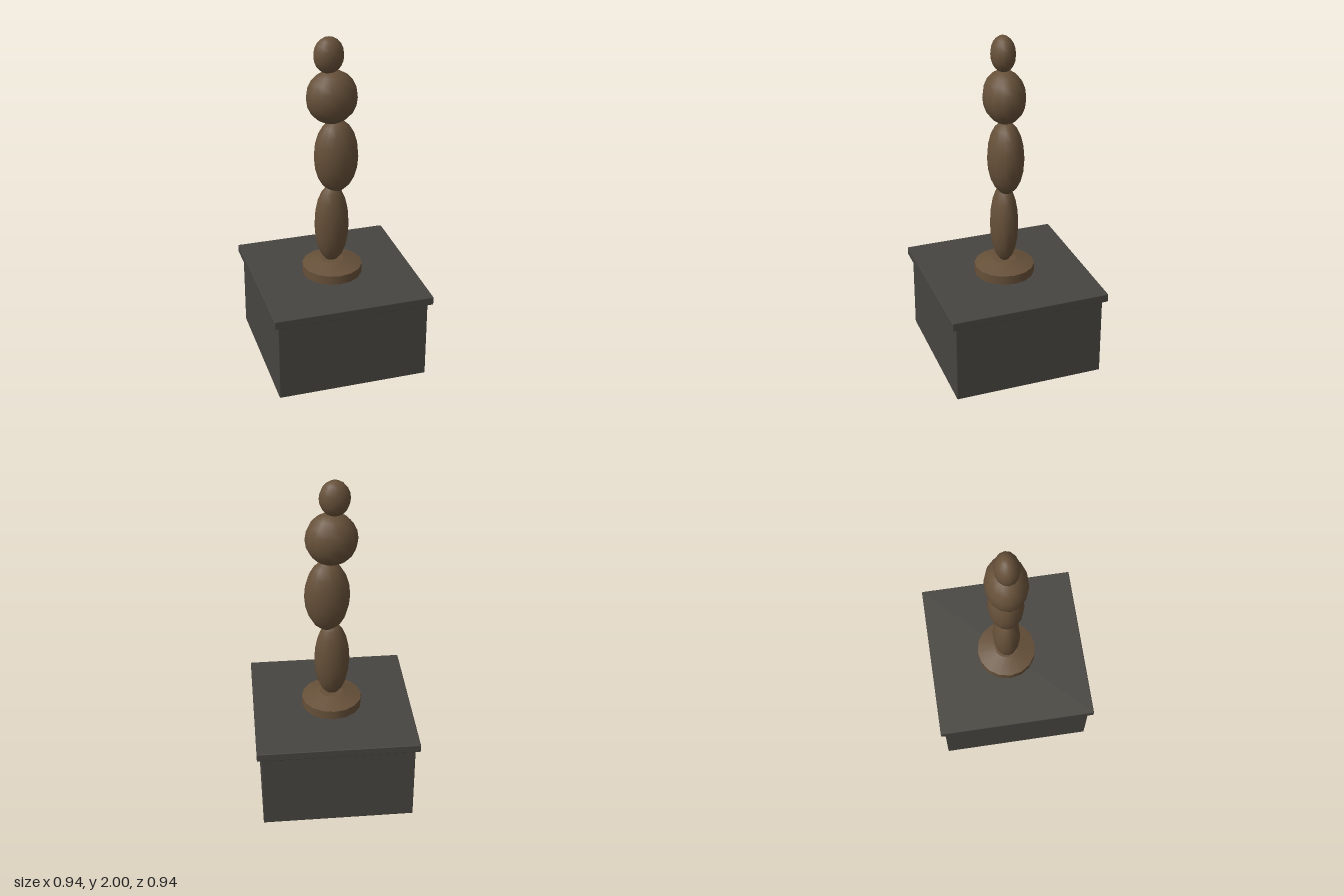
import * as THREE from 'three';
import { RoundedBoxGeometry } from 'three/addons/geometries/RoundedBoxGeometry.js';

export function createModel() {
  const group = new THREE.Group();
  const stone = new THREE.MeshStandardMaterial({ color: 0x474540 });
  const bronze = new THREE.MeshStandardMaterial({ color: 0x665039 });

  function add(name, geometry, material, x, y) {
    const mesh = new THREE.Mesh(geometry, material);
    mesh.name = name;
    mesh.position.set(x, y, 0);
    group.add(mesh);
  }

  // Square plinth with an overhanging cap, edges barely softened
  add('plinth', new RoundedBoxGeometry(0.894, 0.49, 0.894, 1, 0.005), stone, 0, 0.25);
  add('plinthCap', new RoundedBoxGeometry(0.944, 0.05, 0.944, 1, 0.005), stone, 0, 0.515);

  // Round foot: straight rim, then a shallow slope to a small flat top
  const rim = new THREE.CylinderGeometry(0.178, 0.178, 0.057, 16);
  add('footRim', rim, bronze, 0, 0.5665);
  const slope = new THREE.CylinderGeometry(0.07, 0.178, 0.032, 16);
  add('footSlope', slope, bronze, 0, 0.611);

  // Stacked, flattened ellipsoids: name, centre x, centre y, radii x, y, z
  const stack = [
    ['lowerBody', -0.002, 0.86, 0.104, 0.25, 0.082],
    ['middleBody', 0.025, 1.29, 0.132, 0.224, 0.105],
    ['upperBody', 0, 1.65, 0.15, 0.157, 0.121],
    ['head', -0.018, 1.895, 0.088, 0.105, 0.07],
  ];
  for (const [name, x, y, rx, ry, rz] of stack) {
    const ellipsoid = new THREE.SphereGeometry(1, 14, 10).scale(rx, ry, rz);
    add(name, ellipsoid, bronze, x, y);
  }
  return group;
}
